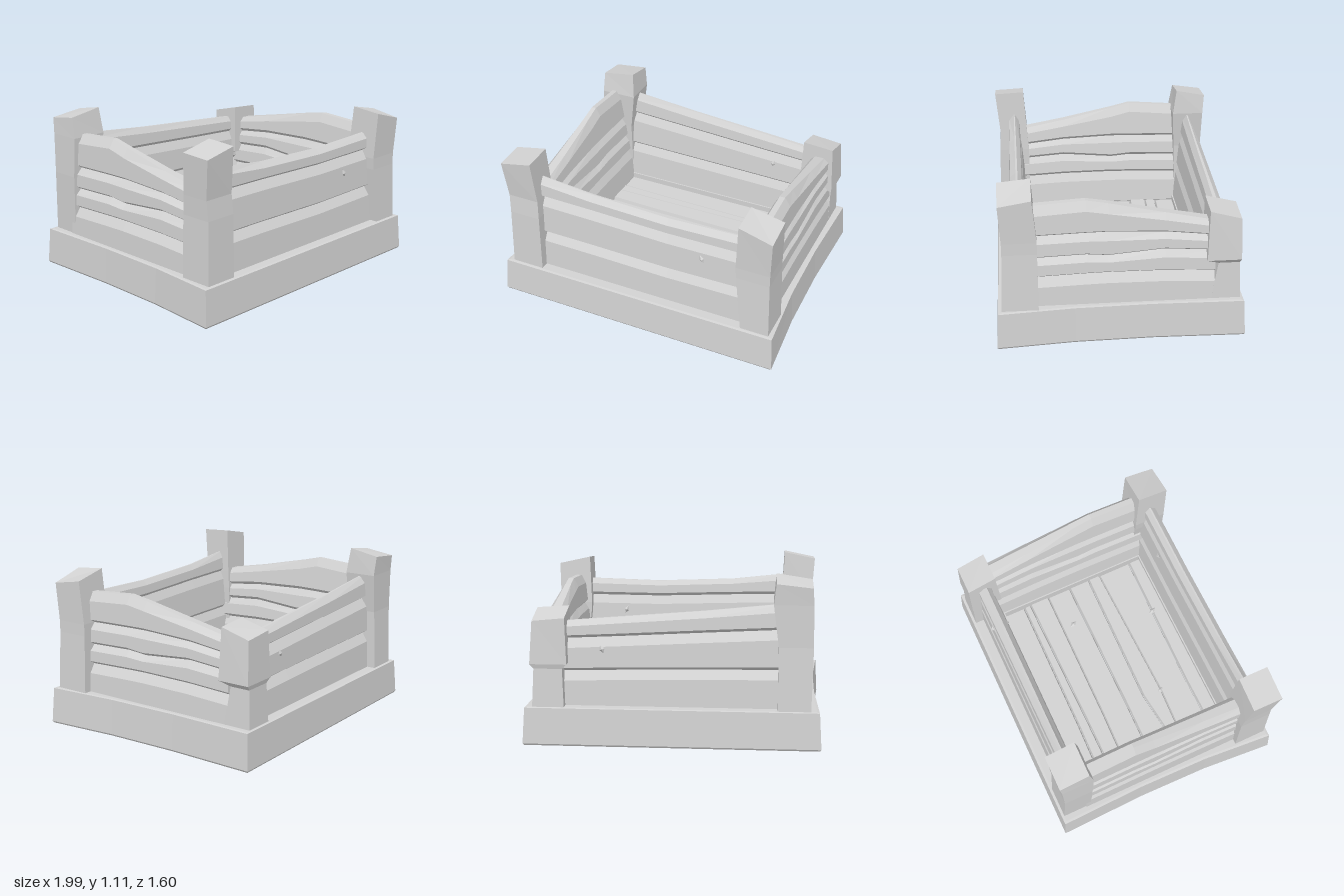
import * as THREE from 'three';

const wood = new THREE.MeshStandardMaterial({ color: 0xd2d2d2 });
wood.name = 'light grey wood';

// Skin a list of equal-sized point rings; capped at the ends or closed into a loop.
function loft(rings, closed = false) {
  const tris = [], n = rings.length, k = rings[0].length;
  for (let i = 0; i < (closed ? n : n - 1); i++) {
    const a = rings[i], b = rings[(i + 1) % n];
    for (let j = 0; j < k; j++) {
      const m = (j + 1) % k;
      tris.push([a[j], b[j], b[m]], [a[j], b[m], a[m]]);
    }
  }
  if (!closed) {
    for (let j = 1; j < k - 1; j++) {
      tris.push([rings[0][0], rings[0][j], rings[0][j + 1]]);
      tris.push([rings[n - 1][0], rings[n - 1][j + 1], rings[n - 1][j]]);
    }
  }
  // Turn every face outward by checking the enclosed volume.
  let volume = 0;
  for (const [a, b, c] of tris) {
    volume += a[0] * (b[1] * c[2] - b[2] * c[1]) + a[1] * (b[2] * c[0] - b[0] * c[2])
      + a[2] * (b[0] * c[1] - b[1] * c[0]);
  }
  if (volume < 0) tris.forEach((t) => t.reverse());
  const geo = new THREE.BufferGeometry();
  geo.setAttribute('position', new THREE.Float32BufferAttribute(tris.flat(2), 3));
  geo.computeVertexNormals();
  return geo;
}

function add(parent, name, geo) {
  const mesh = new THREE.Mesh(geo, wood);
  mesh.name = name;
  parent.add(mesh);
  return mesh;
}

// Small raised splinter at a knot.
function knot(parent, x, y, z, flat) {
  const mesh = add(parent, 'knot', new THREE.OctahedronGeometry(0.03));
  mesh.position.set(x, y, z);
  if (flat) mesh.scale.set(0.6, 0.5, 1.1);
  else mesh.scale.set(0.6, 1, 0.5);
  mesh.rotation[flat ? 'y' : 'z'] = 0.4;
}

// One side of stacked planks meeting at grooved seams (heights at stations us).
// Each plank has a short undercut below and a longer slope above.
function wall(name, us, seams, inner, outer, angle) {
  const group = new THREE.Group();
  group.name = name;
  const face = (range, y) => range[0] + (range[1] - range[0]) * (y - 0.2) / 0.7;
  for (let r = 0; r < seams.length - 1; r++) {
    const rings = us.map((u, i) => {
      const b = seams[r][i], t = seams[r + 1][i];
      const low = b + 0.022, high = t - Math.min(0.06, (t - b) * 0.3);
      const out = (y) => face(outer, y), inn = (y) => face(inner, y);
      return [
        [u, b, out(b) - 0.035], [u, low, out(low)], [u, high, out(high)], [u, t, out(t) - 0.035],
        [u, t, inn(t) + 0.025], [u, high, inn(high)], [u, low, inn(low)], [u, b, inn(b) + 0.025],
      ];
    });
    add(group, 'wallPlank', loft(rings));
  }
  group.rotation.y = angle;
  return group;
}

// Post from levels [x0, x1, z0, z1, y] and a slanted top with four corner heights.
function post(levels, tops) {
  return loft(levels.map(([x0, x1, z0, z1, y], i) => {
    const h = i === levels.length - 1 ? tops : [y, y, y, y];
    return [[x0, h[0], z0], [x1, h[1], z0], [x1, h[2], z1], [x0, h[3], z1]];
  }));
}

export function createModel() {
  const model = new THREE.Group();
  model.name = 'woodenCrate';

  // Base frame: a mitred ring with bowed sides and an underside rising inward.
  const outline = [
    [-0.995, 0.8], [0, 0.8], [0.995, 0.8], [0.955, 0.3], [0.945, -0.2], [0.96, -0.8],
    [0, -0.8], [-0.96, -0.8], [-0.945, -0.2], [-0.955, 0.3],
  ];
  const frame = outline.map(([x, z]) => {
    const ix = Math.sign(x) * 0.672, iz = Math.abs(z) > 0.5 ? Math.sign(z) * 0.545 : z;
    const at = (s, y) => [x - Math.sign(x) * s, y, Math.abs(z) > 0.5 ? z - Math.sign(z) * s : z];
    return [at(0.008, 0), at(0, 0.012), at(0.014, 0.247), at(0.03, 0.25), [ix, 0.25, iz], [ix, 0.13, iz]];
  });
  add(model, 'baseFrame', loft(frame, true));

  // Floor planks between uneven seams running side to side, meeting in V grooves.
  const seams = [
    [-0.56, -0.56, -0.56], [-0.415, -0.405, -0.395], [-0.335, -0.335, -0.345], [-0.22, -0.21, -0.2],
    [-0.03, -0.025, -0.025], [0.155, 0.11, 0.13], [0.23, 0.245, 0.22], [0.45, 0.445, 0.465], [0.56, 0.56, 0.56],
  ];
  const floor = new THREE.Group();
  floor.name = 'floor';
  model.add(floor);
  for (let i = 0; i < seams.length - 1; i++) {
    const y = 0.21 + (i % 3) * 0.008;
    add(floor, 'floorPlank', loft([-0.68, -0.33, 0.66].map((x, j) => {
      const a = seams[i][j], b = seams[i + 1][j];
      return [[x, y - 0.06, a + 0.015], [x, y - 0.03, a], [x, y, a + 0.008], [x, y, b - 0.008],
        [x, y - 0.03, b], [x, y - 0.06, b - 0.015]];
    })));
  }
  knot(floor, 0.39, 0.22, -0.12, true);
  knot(floor, -0.34, 0.22, 0.235, true);
  knot(floor, 0.24, 0.22, 0.455, true);

  // Front and back walls, three planks each, with a knot on both faces.
  const long = [-0.76, -0.35, 0.2, 0.78];
  const front = wall('frontWall', long, [
    [0.2, 0.2, 0.2, 0.2], [0.503, 0.5, 0.49, 0.5], [0.785, 0.778, 0.762, 0.768], [0.94, 0.895, 0.875, 0.892],
  ], [0.55, 0.61], [0.71, 0.68], 0);
  const back = wall('backWall', long, [
    [0.2, 0.2, 0.2, 0.2], [0.47, 0.48, 0.49, 0.5], [0.68, 0.7, 0.73, 0.76], [0.79, 0.825, 0.87, 0.93],
  ], [0.55, 0.61], [0.71, 0.68], Math.PI);
  for (const [side, u, y] of [[front, 0.45, 0.66], [back, -0.45, 0.62]]) {
    knot(side, u, y, 0.692, false);
    knot(side, u, y, 0.588, false);
    model.add(side);
  }

  // Side walls, four planks each, sloping down away from one end.
  const stations = [-0.6, -0.22, -0.08, 0.28, 0.6];
  const sideSeams = [
    [0.2, 0.2, 0.2, 0.2, 0.2], [0.435, 0.447, 0.45, 0.447, 0.433],
    [0.567, 0.58, 0.568, 0.598, 0.575], [0.717, 0.727, 0.729, 0.715, 0.68],
  ];
  model.add(wall('rightWall', stations, [...sideSeams, [0.92, 0.945, 0.92, 0.845, 0.78]],
    [0.675, 0.755], [0.9, 0.86], Math.PI / 2));
  model.add(wall('leftWall', stations, [...sideSeams, [0.945, 0.975, 0.94, 0.86, 0.8]],
    [0.665, 0.755], [0.9, 0.86], -Math.PI / 2));

  // Four uneven corner posts.
  add(model, 'frontRightPost', post([
    [-0.935, -0.71, 0.54, 0.765, 0.2], [-0.925, -0.71, 0.54, 0.755, 0.66],
    [-0.93, -0.715, 0.55, 0.745, 0.79], [-0.95, -0.73, 0.57, 0.775, 1.07],
  ], [1.06, 1.105, 1.095, 1.05]));
  add(model, 'frontLeftPost', post([
    [0.76, 0.95, 0.53, 0.765, 0.2], [0.71, 0.935, 0.53, 0.75, 0.64],
    [0.705, 0.935, 0.53, 0.75, 0.72], [0.72, 0.945, 0.555, 0.765, 1.03],
  ], [1.06, 1.01, 0.975, 1.04]));
  add(model, 'backLeftPost', post([
    [0.69, 0.9, -0.77, -0.57, 0.2], [0.7, 0.885, -0.757, -0.62, 0.5],
    [0.67, 0.91, -0.765, -0.545, 0.53], [0.68, 0.89, -0.755, -0.555, 0.84],
  ], [0.83, 0.81, 0.865, 0.88]));
  add(model, 'backRightPost', post([
    [-0.89, -0.68, -0.77, -0.57, 0.2], [-0.9, -0.68, -0.75, -0.55, 0.66],
    [-0.895, -0.645, -0.755, -0.535, 0.93], [-0.89, -0.66, -0.765, -0.56, 1.08],
  ], [1.04, 1.065, 1.105, 1.07]));
  return model;
}
